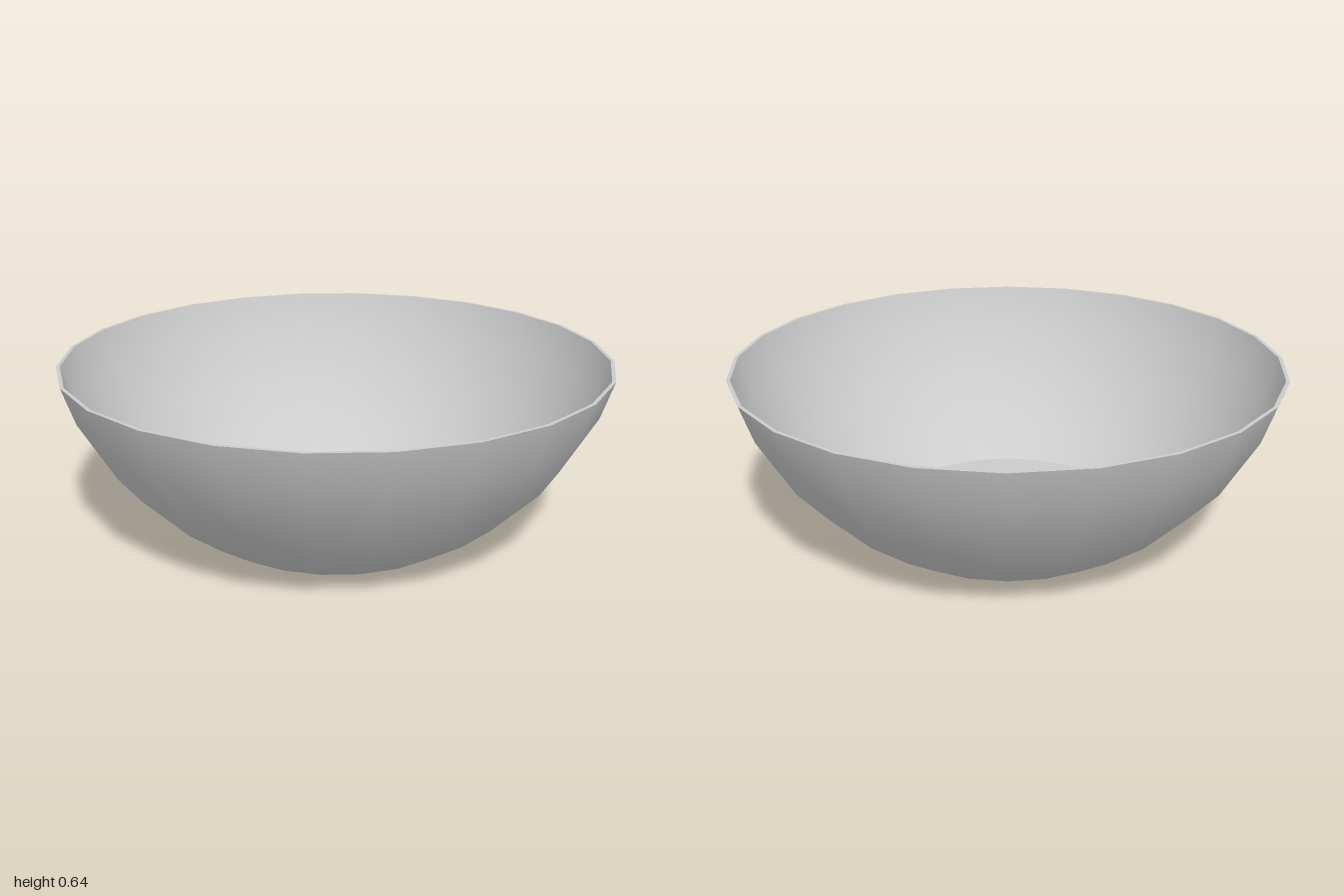
import * as THREE from 'three';

const SIDES = 24;
const WALL = 0.013;

// Outer wall profile, foot to rim: [radius, height]
const OUTER = [[0.51, 0], [0.66, 0.104], [0.834, 0.286], [0.957, 0.505], [1, 0.64]];

// Inner wall: the outer profile moved in by the wall thickness, rim to floor
const INNER = OUTER.map(([r, y], i) => [r - WALL, i === 0 ? 0.01 : y]).reverse();

export function createModel() {
  const bowl = new THREE.Group();
  bowl.name = 'bowl';
  const material = new THREE.MeshStandardMaterial({ color: 0xcccccc });

  // Each section is its own lathe, so the edges between them stay sharp
  const addSection = (name, profile) => {
    const points = profile.map(([r, y]) => new THREE.Vector2(r, y));
    const mesh = new THREE.Mesh(new THREE.LatheGeometry(points, SIDES), material);
    mesh.name = name;
    bowl.add(mesh);
  };

  addSection('base', [[0, 0], OUTER[0]]);
  addSection('outerWall', OUTER);
  addSection('rim', [OUTER[OUTER.length - 1], INNER[0]]);
  addSection('innerWall', INNER);
  addSection('innerFloor', [INNER[INNER.length - 1], [0, 0.01]]);

  return bowl;
}
